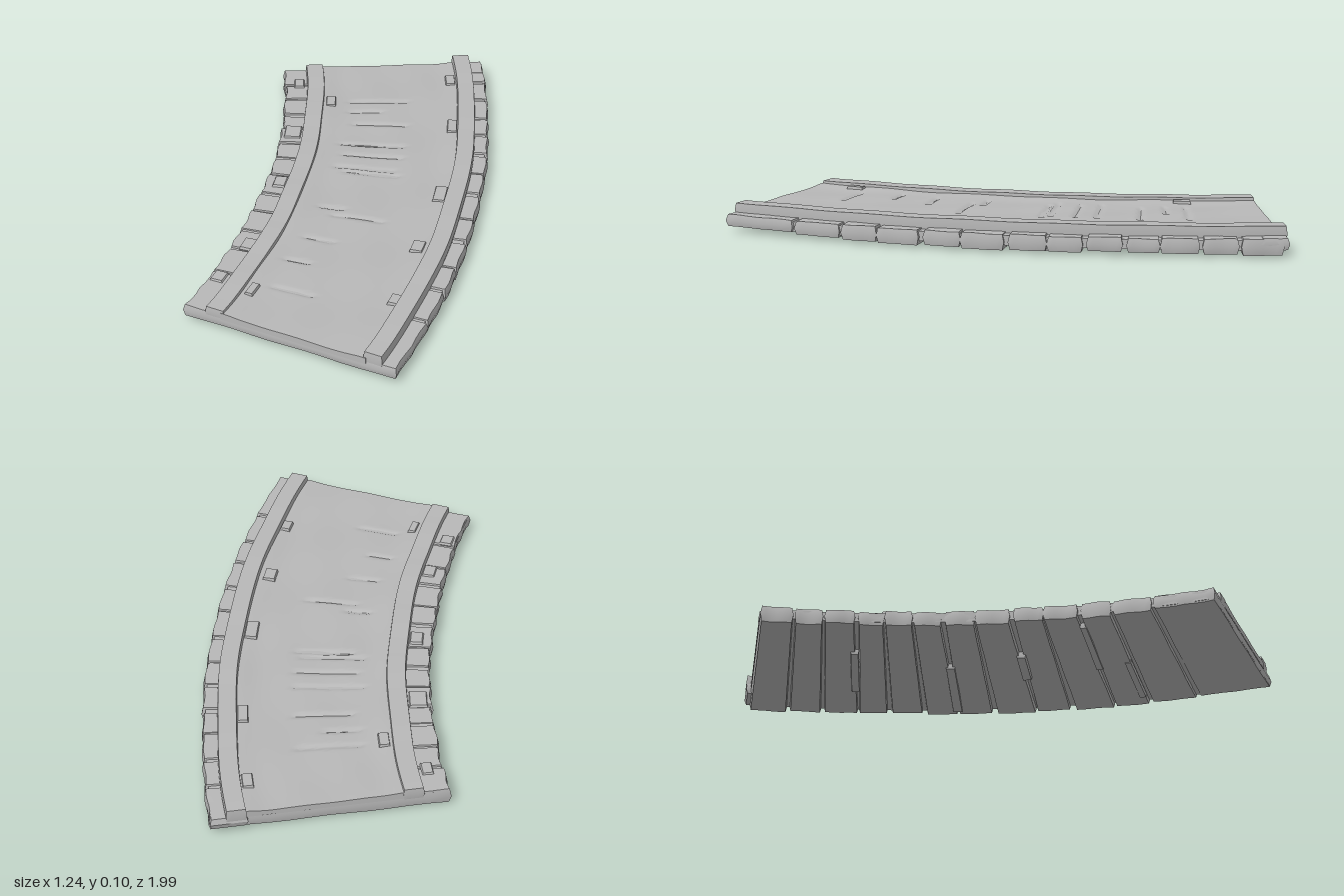
import * as THREE from 'three';
import { toCreasedNormals } from 'three/addons/utils/BufferGeometryUtils.js';

// The track bends about one centre: u runs 0..1 across it, t runs 0..1 from back to front.
const CX = -3.34, CZ = -0.98, R0 = 3.13, WIDTH = 0.83, SWEEP = Math.PI / 6;
const bump = (x, w) => Math.exp(-(x * x) / (w * w));

function bend(u, t) {
  const r = R0 + u * WIDTH, a = t * SWEEP;
  return [CX + r * Math.cos(a), CZ + r * Math.sin(a)];
}

// A box with bevelled long edges, bent onto the track; offset(u, t, k) changes u, t and y,
// k being 1 on the top and 0 on the bottom.
function arcBlock(u0, u1, t0, t1, y0, y1, { nu = 4, nt = 8, bevel = 0, offset = null } = {}) {
  const geo = new THREE.BoxGeometry(1, 1, 1, nu, 2, nt);
  const p = geo.attributes.position;
  for (let i = 0; i < p.count; i++) {
    const a = p.getX(i), k = p.getY(i) + 0.5, b = p.getZ(i);
    const inset = k === 0.5 ? 0 : bevel;
    let u = u0 + (a + 0.5) * (u1 - u0) - 2 * a * inset / WIDTH;
    let t = t0 + (b + 0.5) * (t1 - t0) - 2 * b * inset / 1.85;
    let y = y0 + k * (y1 - y0);
    if (offset) {
      const d = offset(u, t, k);
      u += d[0]; t += d[1]; y += d[2];
    }
    const [x, z] = bend(u, t);
    p.setXYZ(i, x, y, z);
  }
  return toCreasedNormals(geo, 0.6);
}

export function createModel() {
  const group = new THREE.Group();
  const stone = new THREE.MeshStandardMaterial({ color: 0xb8b8b8 });
  stone.name = 'pale grey';
  const add = (name, geo) => {
    const mesh = new THREE.Mesh(geo, stone);
    mesh.name = name;
    group.add(mesh);
  };
  let seed = 7;
  const rand = () => (seed = (seed * 16807) % 2147483647) / 2147483647;

  // Uneven cross planks with worn ends
  const seams = [0, 0.075, 0.14, 0.21, 0.27, 0.335, 0.4, 0.47, 0.55, 0.62, 0.7, 0.77, 0.86, 1];
  for (let i = 0; i < seams.length - 1; i++) {
    const last = i === seams.length - 2;
    const skew = i === 0 || last ? 0 : (rand() - 0.5) * 0.012;
    const bottom = last ? 0.02 : 0.007 + rand() * 0.007;
    const phase = rand() * 6;
    add('plank', arcBlock(rand() * 0.014, 1 - rand() * 0.01, seams[i] + 0.0015, seams[i + 1] - 0.0015,
      bottom, 0.062 + rand() * 0.005, {
        nu: 12, nt: 6, bevel: 0.006,
        offset: (u, t, k) => [
          Math.sin(t * 95 + phase) * 0.004 * (u < 0.5 ? 1 : -0.7),
          skew * (u - 0.5),
          k === 0 ? 0.002 * Math.sin(u * 17 + phase) : 0.001 * Math.sin(u * 40 + t * 70),
        ],
      }));
  }

  // Solid core that closes the plank seams
  add('core', arcBlock(0.018, 0.98, 0.004, 0.996, 0.024, 0.059, { nt: 40 }));

  // Worn road surface between the rails: [t, first u, last u] for each groove
  const grooves = [
    [0.153, 0.31, 0.62], [0.197, 0.32, 0.5], [0.246, 0.34, 0.62], [0.329, 0.3, 0.62],
    [0.372, 0.32, 0.6], [0.42, 0.3, 0.58], [0.437, 0.34, 0.62], [0.575, 0.3, 0.42],
    [0.6, 0.38, 0.62], [0.69, 0.3, 0.45], [0.775, 0.28, 0.4], [0.87, 0.3, 0.5],
  ];
  add('roadSurface', arcBlock(0.19, 0.86, 0.001, 0.998, 0.05, 0.071, {
    nu: 28, nt: 220,
    offset: (u, t, k) => {
      if (k < 1) return [0, 0, 0];
      let y = 0.0015 * Math.sin(t * 31 + u * 5) + 0.001 * Math.sin(u * 23 - t * 17);
      for (const [gt, a, b] of grooves) {
        if (u > a && u < b) y -= 0.007 * bump(t - gt, 0.005);
      }
      // Surface rises a little towards both rails
      y += 0.006 * (bump(u - 0.2, 0.06) + bump(u - 0.85, 0.06));
      return [0, 0, y];
    },
  }));

  // Raised rails and the shelf that carries the outer one past the back edge
  const worn = (u, t, k) => [0.0025 * Math.sin(t * 21), 0, k === 1 ? 0.001 * Math.sin(t * 37) : 0];
  add('innerRail', arcBlock(0.115, 0.202, 0, 0.998, 0.045, 0.088, { nt: 70, bevel: 0.003, offset: worn }));
  add('outerRail', arcBlock(0.845, 0.93, -0.008, 0.997, 0.045, 0.1, { nt: 70, bevel: 0.003, offset: worn }));
  add('outerShelf', arcBlock(0.84, 0.995, -0.008, 0.04, 0.025, 0.067, { bevel: 0.006 }));

  // Rough rail fixings: [u, t, width in u, length in t]
  const fixings = [
    [0.82, 0.075, 0.05, 0.035], [0.82, 0.25, 0.05, 0.045], [0.815, 0.49, 0.06, 0.05],
    [0.8, 0.665, 0.06, 0.035], [0.82, 0.83, 0.05, 0.03], [0.235, 0.16, 0.05, 0.04],
    [0.235, 0.9, 0.04, 0.04], [0.08, 0.07, 0.05, 0.035], [0.07, 0.29, 0.08, 0.05],
    [0.08, 0.5, 0.06, 0.04], [0.085, 0.75, 0.06, 0.04], [0.06, 0.88, 0.06, 0.035],
  ];
  for (const [u, t, w, l] of fixings) {
    const top = u > 0.15 ? 0.083 : 0.073;
    add('railFixing', arcBlock(u - w / 2, u + w / 2, t - l / 2, t + l / 2, 0.055, top, { bevel: 0.004 }));
  }

  // Loose slats under the planks: [first u, last u, t, length in t, lowest y]
  const slats = [
    [0.3, 0.72, 0.205, 0.018, 0.004], [0.45, 0.95, 0.4, 0.02, 0.003],
    [0.35, 0.6, 0.55, 0.02, 0], [0.1, 0.55, 0.7, 0.016, 0.004], [0.5, 0.9, 0.76, 0.015, 0.005],
  ];
  for (const [a, b, t, l, y] of slats) {
    add('lowerSlat', arcBlock(a, b, t - l / 2, t + l / 2, y, 0.03, { bevel: 0.003 }));
  }

  return group;
}
